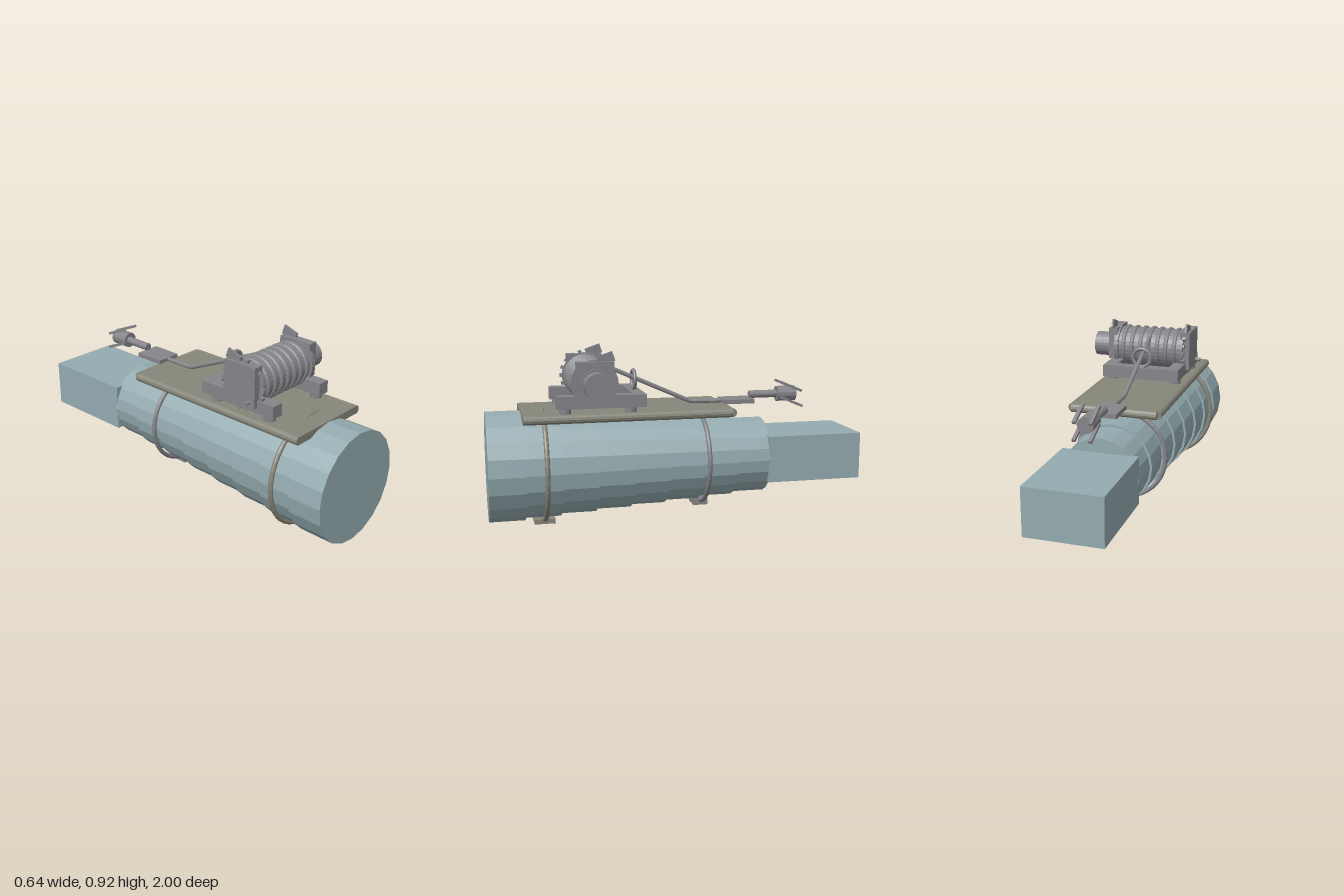
import * as THREE from 'three';

const CX = -0.015; // shared centre line
const mat = (name, color) => {
  const m = new THREE.MeshStandardMaterial({ color, flatShading: true });
  m.name = name;
  return m;
};

export function createModel() {
  const root = new THREE.Group();
  root.name = 'strappedWinch';
  const blue = mat('paleBlueGrey', 0x94abb0);
  const olive = mat('oliveGrey', 0x86867a);
  const grey = mat('steelGrey', 0x85858a);

  const add = (name, geo, material, x, y, z) => {
    const m = new THREE.Mesh(geo, material);
    m.name = name;
    m.position.set(x, y, z);
    root.add(m);
    return m;
  };
  // box given by its limits
  const box = (name, material, x0, x1, y0, y1, z0, z1) =>
    add(name, new THREE.BoxGeometry(x1 - x0, y1 - y0, z1 - z0), material,
      (x0 + x1) / 2, (y0 + y1) / 2, (z0 + z1) / 2);
  // cylinder along x or z between two limits
  const rodX = (name, material, r, x0, x1, y, z, sides = 24) =>
    add(name, new THREE.CylinderGeometry(r, r, x1 - x0, sides).rotateZ(Math.PI / 2), material, (x0 + x1) / 2, y, z);
  const rodZ = (name, material, r, x, y, z0, z1, sides = 20) =>
    add(name, new THREE.CylinderGeometry(r, r, z1 - z0, sides).rotateX(Math.PI / 2), material, x, y, (z0 + z1) / 2);

  // stepped barrel with a square block at its back end
  const step = 1.49 / 8;
  for (let i = 0; i < 8; i++) {
    const front = 1 - i * step;
    rodZ('barrelSection', blue, 0.29 - i * 0.0123, CX, 0.311, front - step, front);
  }
  box('endBlock', blue, -0.215, 0.185, 0.19, 0.44, -1, -0.48);

  // mounting plate with rolled edges
  box('mountingPlate', olive, -0.243, 0.213, 0.563, 0.604, -0.26, 0.82);
  for (const x of [-0.2425, 0.2125]) rodZ('plateSideRoll', olive, 0.0225, x, 0.583, -0.262, 0.82, 12);
  rodX('plateBackRoll', olive, 0.0225, -0.243, 0.213, 0.583, -0.265, 12);

  // straps around the barrel, with pads underneath
  add('frontStrap', new THREE.TorusGeometry(0.291, 0.013, 10, 40), olive, CX, 0.311, 0.71);
  box('frontStrapPad', olive, -0.08, 0.048, 0, 0.025, 0.655, 0.765);
  add('backStrap', new THREE.TorusGeometry(0.241, 0.012, 10, 40), grey, CX, 0.311, -0.14);
  box('backStrapPad', grey, -0.065, 0.035, 0.048, 0.085, -0.18, -0.1);

  // winch frame: two rails, a back crossbar and feet
  for (const [x0, x1] of [[-0.23, -0.163], [0.133, 0.2]]) {
    box('frameRail', grey, x0, x1, 0.63, 0.695, 0.19, 0.65);
    for (const z of [0.27, 0.605]) rodY(x0, x1, z);
  }
  function rodY(x0, x1, z) {
    add('frameFoot', new THREE.CylinderGeometry(0.03, 0.03, 0.03, 12), grey, (x0 + x1) / 2, 0.617, z);
  }
  box('frameCrossbar', grey, -0.165, 0.135, 0.63, 0.695, 0.19, 0.255);

  // drum with raised cable turns
  const AY = 0.753, AZ = 0.455;
  rodX('drum', grey, 0.109, -0.21, 0.19, AY, AZ, 28);
  for (let i = 0; i < 7; i++) {
    const x = -0.163 + i * 0.0495;
    add('cableTurn', new THREE.TorusGeometry(0.107, 0.0125, 10, 32).rotateY(Math.PI / 2), grey, x, AY, AZ);
  }
  for (const [x0, x1] of [[-0.215, -0.192], [0.162, 0.187]]) rodX('drumFlange', grey, 0.122, x0, x1, AY, AZ, 28);

  // ratchet teeth on the right flange
  for (let i = 0; i < 18; i++) {
    const a = (i / 18) * Math.PI * 2;
    const t = add('ratchetTooth', new THREE.BoxGeometry(0.018, 0.018, 0.018), grey,
      -0.219, AY + Math.sin(a) * 0.125, AZ + Math.cos(a) * 0.125);
    t.rotation.x = -a;
  }

  // end housings, motor, knob and tilted top tabs
  box('rightHousing', grey, -0.25, -0.195, 0.657, 0.868, 0.36, 0.55);
  box('leftHousing', grey, 0.172, 0.222, 0.69, 0.868, 0.36, 0.55);
  rodX('motorCollar', grey, 0.08, 0.222, 0.238, AY, AZ);
  rodX('motor', grey, 0.068, 0.238, 0.318, AY, AZ);
  rodX('lockKnob', grey, 0.011, -0.277, -0.24, 0.683, 0.515, 10);
  for (const x of [-0.229, 0.2]) {
    const tab = add('topTab', new THREE.BoxGeometry(0.011, 0.05, 0.085), grey, x, 0.882, 0.4);
    tab.rotation.x = 0.33;
  }

  // cable guide ring and the cable
  add('guideRing', new THREE.TorusGeometry(0.05, 0.01, 10, 24), grey, CX, 0.745, 0.22);
  const path = new THREE.CurvePath();
  const p = [[0.42, 0.845], [-0.08, 0.623], [-0.1, 0.617], [-0.28, 0.615]].map(([z, y]) => new THREE.Vector3(CX, y, z));
  for (let i = 0; i < 3; i++) path.add(new THREE.LineCurve3(p[i], p[i + 1]));
  add('cable', new THREE.TubeGeometry(path, 40, 0.012, 10), grey, 0, 0, 0);

  // grapple: link plate, shank, head and four prongs
  box('linkPlate', grey, -0.083, 0.053, 0.603, 0.626, -0.435, -0.265);
  rodZ('grappleShank', grey, 0.021, -0.017, 0.643, -0.585, -0.425, 14);
  rodZ('grappleHead', grey, 0.042, -0.013, 0.643, -0.685, -0.58, 14);
  for (const x of [-0.048, 0.034]) {
    for (const [y, z] of [[0.687, -0.648], [0.602, -0.655]]) {
      const prong = add('grappleProng', new THREE.BoxGeometry(0.018, 0.014, 0.135), grey, x, y, z);
      prong.rotation.x = -0.4;
    }
  }
  return root;
}
